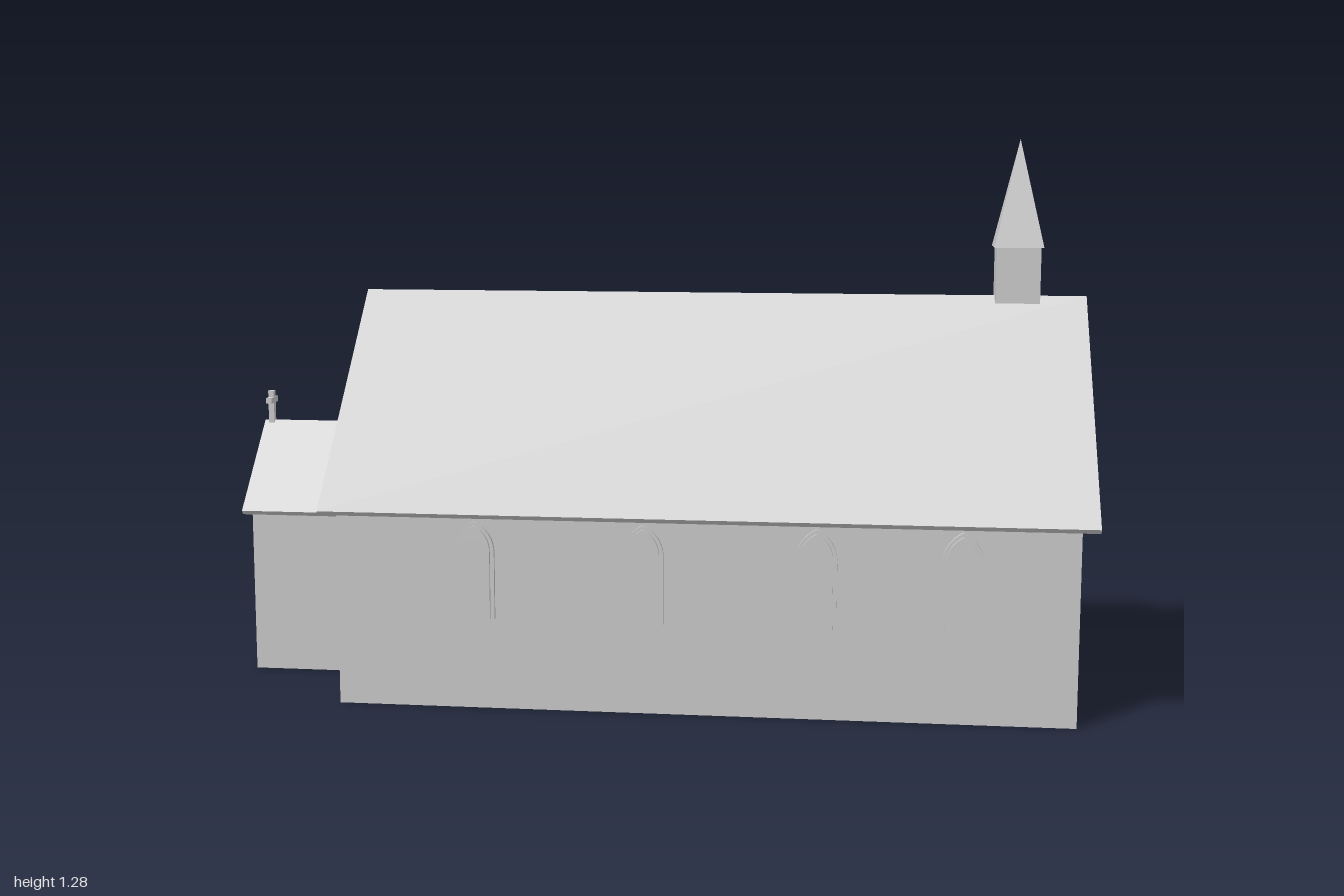
import * as THREE from 'three';

export function createModel() {
  const group = new THREE.Group();
  const stone = new THREE.MeshStandardMaterial({ color: 0xcccccc });
  stone.name = 'pale grey';
  stone.flatShading = true;

  const add = (name, geometry, parent = group) => {
    const mesh = new THREE.Mesh(geometry, stone);
    mesh.name = name;
    parent.add(mesh);
    return mesh;
  };
  const box = (name, w, h, d, x, y, z) =>
    add(name, new THREE.BoxGeometry(w, h, d).translate(x, y, z));

  // Cross-section (z, y) swept along x; given one half, mirrored to the other
  const sweep = (name, points, x0, x1) => {
    const shape = new THREE.Shape(points.map(([a, b]) => new THREE.Vector2(a, b)));
    const geo = new THREE.ExtrudeGeometry(shape, { depth: x1 - x0, bevelEnabled: false });
    return add(name, geo.rotateY(Math.PI / 2).translate(x0, 0, 0));
  };
  const walls = (name, half, eave, apex, x0, x1) =>
    sweep(name, [[-half, 0], [half, 0], [half, eave], [0, apex], [-half, eave]], x0, x1);
  const roof = (name, half, eave, apex, x0, x1) =>
    sweep(name, [
      [0, apex], [-half, eave], [-half + 0.008, eave - 0.01], [0, apex - 0.016],
      [half - 0.008, eave - 0.01], [half, eave],
    ], x0, x1);

  // Pointed arch plate standing on its sill
  const arch = (half, height, depth) => {
    const spring = height - half * 1.5;
    const s = new THREE.Shape();
    s.moveTo(-half, 0);
    s.lineTo(half, 0);
    s.lineTo(half, spring);
    s.quadraticCurveTo(half * 0.95, spring + half * 0.98, 0, height);
    s.quadraticCurveTo(-half * 0.95, spring + half * 0.98, -half, spring);
    return new THREE.ExtrudeGeometry(s, { depth, bevelEnabled: false, curveSegments: 8 });
  };
  const opening = (name, half, height, border, x, y, z, turn) => {
    const g = new THREE.Group();
    g.name = name;
    add('surround', arch(half, height, 0.009), g);
    add('panel', arch(half - border, height - border, 0.016), g);
    g.position.set(x, y, z);
    g.rotation.y = turn;
    group.add(g);
  };

  // Nave
  walls('naveWalls', 0.415, 0.492, 0.906, -0.70, 0.965);
  roof('naveRoof', 0.463, 0.457, 0.92, -0.73, 1.0);

  // Porch
  walls('porchWalls', 0.16, 0.415, 0.577, -0.985, -0.69);
  roof('porchRoof', 0.193, 0.398, 0.592, -1.0, -0.69);

  // Side windows on both long walls
  for (const x of [-0.38, 0.004, 0.39, 0.71]) {
    opening('frontWindow', 0.046, 0.225, 0.009, x, 0.21, 0.415, 0);
    opening('backWindow', 0.046, 0.225, 0.009, x, 0.21, -0.415, Math.PI);
  }
  // Gable window and porch door
  opening('gableWindow', 0.067, 0.298, 0.012, 0.965, 0.21, 0, Math.PI / 2);
  opening('porchDoor', 0.075, 0.31, 0.012, -0.984, 0.08, 0, -Math.PI / 2);

  // Bell turret with four-sided spire
  box('turret', 0.102, 0.13, 0.102, 0.838, 0.97, 0);
  const spire = new THREE.ConeGeometry(0.057 * Math.SQRT2, 0.25, 4).rotateY(Math.PI / 4);
  add('spire', spire.translate(0.838, 1.16, 0));

  // Cross on the porch ridge
  box('crossPost', 0.014, 0.085, 0.014, -0.982, 0.6225, 0);
  box('crossArm', 0.014, 0.014, 0.05, -0.982, 0.642, 0);

  return group;
}
